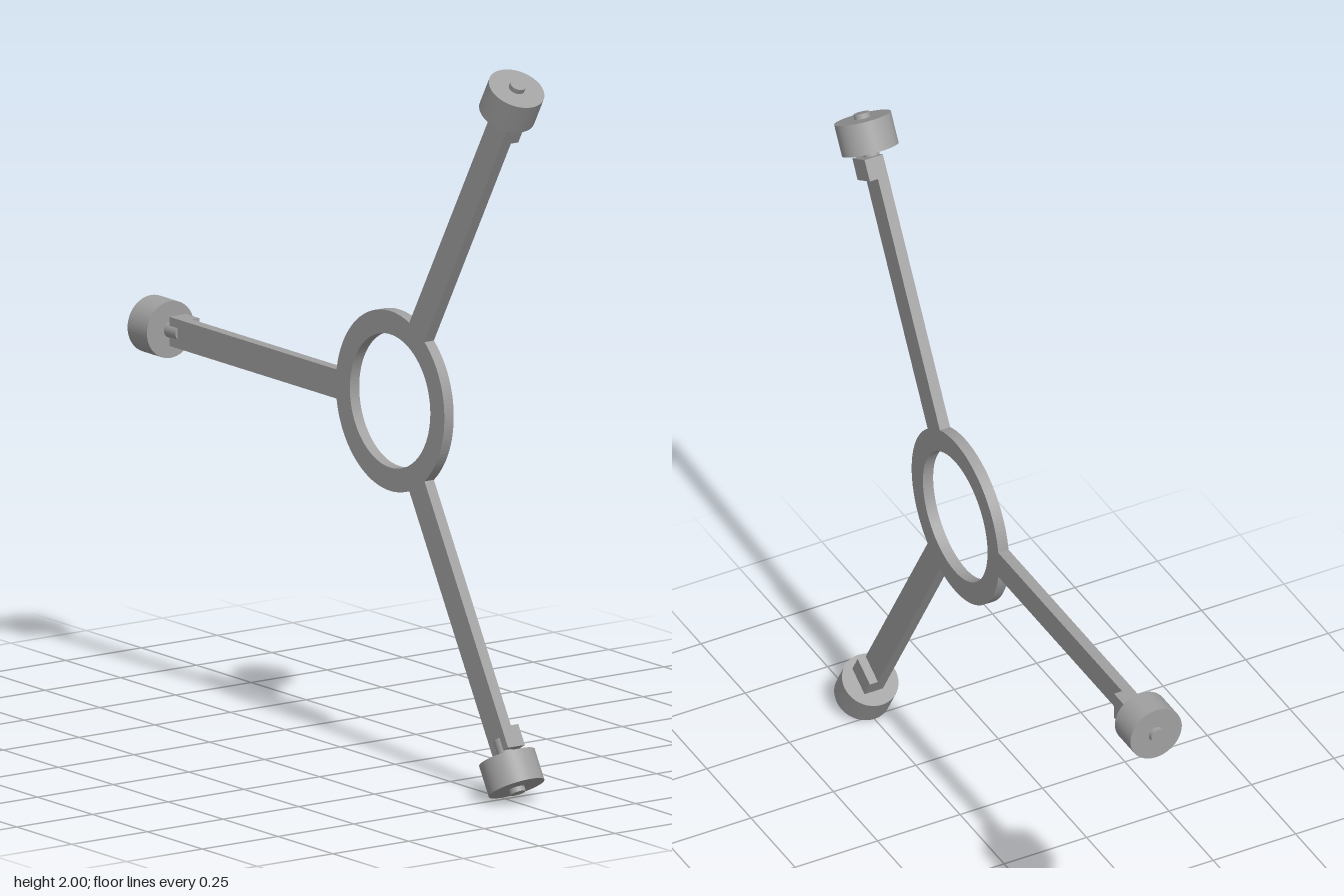
import * as THREE from 'three';

const grey = new THREE.MeshStandardMaterial({ color: 0xa0a0a0 });
grey.name = 'plain grey';

function add(parent, name, geometry, x = 0, y = 0, z = 0) {
  const mesh = new THREE.Mesh(geometry, grey);
  mesh.name = name;
  mesh.position.set(x, y, z);
  parent.add(mesh);
  return mesh;
}

// Cylinder lying along the arm between two distances from the ring centre
function rod(parent, name, radius, from, to, segments) {
  const geometry = new THREE.CylinderGeometry(radius, radius, to - from, segments);
  geometry.rotateZ(-Math.PI / 2);
  return add(parent, name, geometry, (from + to) / 2);
}

// One arm along +x, with motor block, axle and wheel at its end
function createArm() {
  const arm = new THREE.Group();
  arm.name = 'arm';
  const start = 0.24, end = 1.005;
  add(arm, 'armBar', new THREE.BoxGeometry(end - start, 0.08, 0.031), (start + end) / 2);
  add(arm, 'motorBlock', new THREE.BoxGeometry(0.06, 0.08, 0.03), end - 0.03, 0, -0.025);
  rod(arm, 'axle', 0.022, 0.968, 1.123, 24);
  rod(arm, 'wheel', 0.078, 1.021, 1.109, 48);
  return arm;
}

export function createModel() {
  const model = new THREE.Group();
  model.name = 'threeWheelFrame';

  // Flat central ring
  const outline = new THREE.Shape().absarc(0, 0, 0.247, 0, Math.PI * 2, false);
  outline.holes.push(new THREE.Path().absarc(0, 0, 0.183, 0, Math.PI * 2, true));
  const ring = new THREE.ExtrudeGeometry(outline, { depth: 0.031, bevelEnabled: false, curveSegments: 64 });
  add(model, 'centralRing', ring, 0, 0, -0.0155);

  // Three arms at equal angles
  for (let i = 0; i < 3; i++) {
    const arm = createArm();
    arm.rotation.z = Math.PI / 3 + (i * Math.PI * 2) / 3;
    model.add(arm);
  }

  model.position.set(0.248, 1, 0);
  const root = new THREE.Group();
  root.name = 'model';
  root.add(model);
  return root;
}
